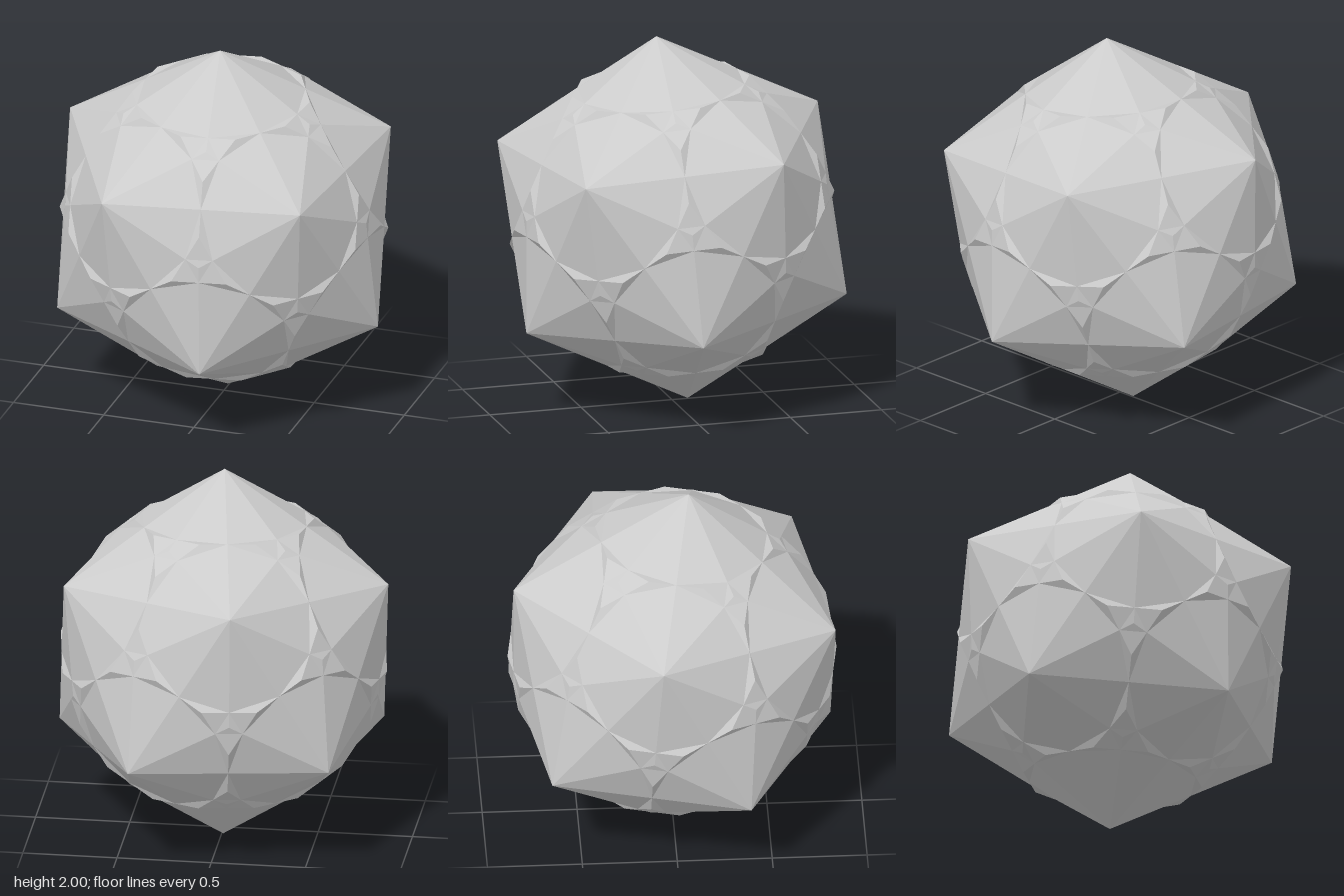
import * as THREE from 'three';
import { ConvexGeometry } from 'three/addons/geometries/ConvexGeometry.js';

const R = 1.004; // distance of the twelve large tips from the centre

// Twelve icosahedron directions: two poles and two staggered rings of five
function icosahedronDirections() {
  const dirs = [new THREE.Vector3(0, 1, 0), new THREE.Vector3(0, -1, 0)];
  const h = 1 / Math.sqrt(5);
  for (let k = 0; k < 10; k++) {
    const a = (k * Math.PI) / 5;
    dirs.push(new THREE.Vector3(2 * h * Math.cos(a), k % 2 ? -h : h, 2 * h * Math.sin(a)));
  }
  return dirs;
}

// Twenty dodecahedron directions: centres of mutually adjacent triples
function dodecahedronDirections(ico) {
  const near = (a, b) => a.dot(b) > 0.4;
  const dirs = [];
  for (let i = 0; i < 12; i++)
    for (let j = i + 1; j < 12; j++)
      for (let k = j + 1; k < 12; k++)
        if (near(ico[i], ico[j]) && near(ico[j], ico[k]) && near(ico[i], ico[k]))
          dirs.push(ico[i].clone().add(ico[j]).add(ico[k]).normalize());
  return dirs;
}

export function createModel() {
  const group = new THREE.Group();
  group.name = 'dualCompound';
  const solid = new THREE.Group();
  solid.name = 'interlockedSolids';
  const material = new THREE.MeshStandardMaterial({ color: 0xcccccc, flatShading: true });
  const ico = icosahedronDirections();
  const dod = dodecahedronDirections(ico);

  const add = (name, points) => {
    const mesh = new THREE.Mesh(new ConvexGeometry(points), material);
    mesh.name = name;
    solid.add(mesh);
  };

  // Triakis icosahedron: twelve ten-sided tips and twenty small three-sided tips
  add('triakisIcosahedron', [
    ...ico.map((d) => d.clone().multiplyScalar(R)),
    ...dod.map((d) => d.clone().multiplyScalar(R * 0.8547)),
  ]);

  // Truncated dodecahedron: its dual, sharing the same midsphere
  const cut = (1 - 1 / Math.sqrt(5)) / 2;
  const corners = [];
  for (const a of dod)
    for (const b of dod)
      if (a !== b && a.dot(b) > 0.7) corners.push(a.clone().lerp(b, cut).multiplyScalar(R * 0.9106));
  add('truncatedDodecahedron', corners);

  // Slight tilt and turn of the whole solid
  solid.rotation.set(0.088, -THREE.MathUtils.degToRad(44.43), -0.008, 'ZXY');
  solid.position.y = 1;
  group.add(solid);
  return group;
}
